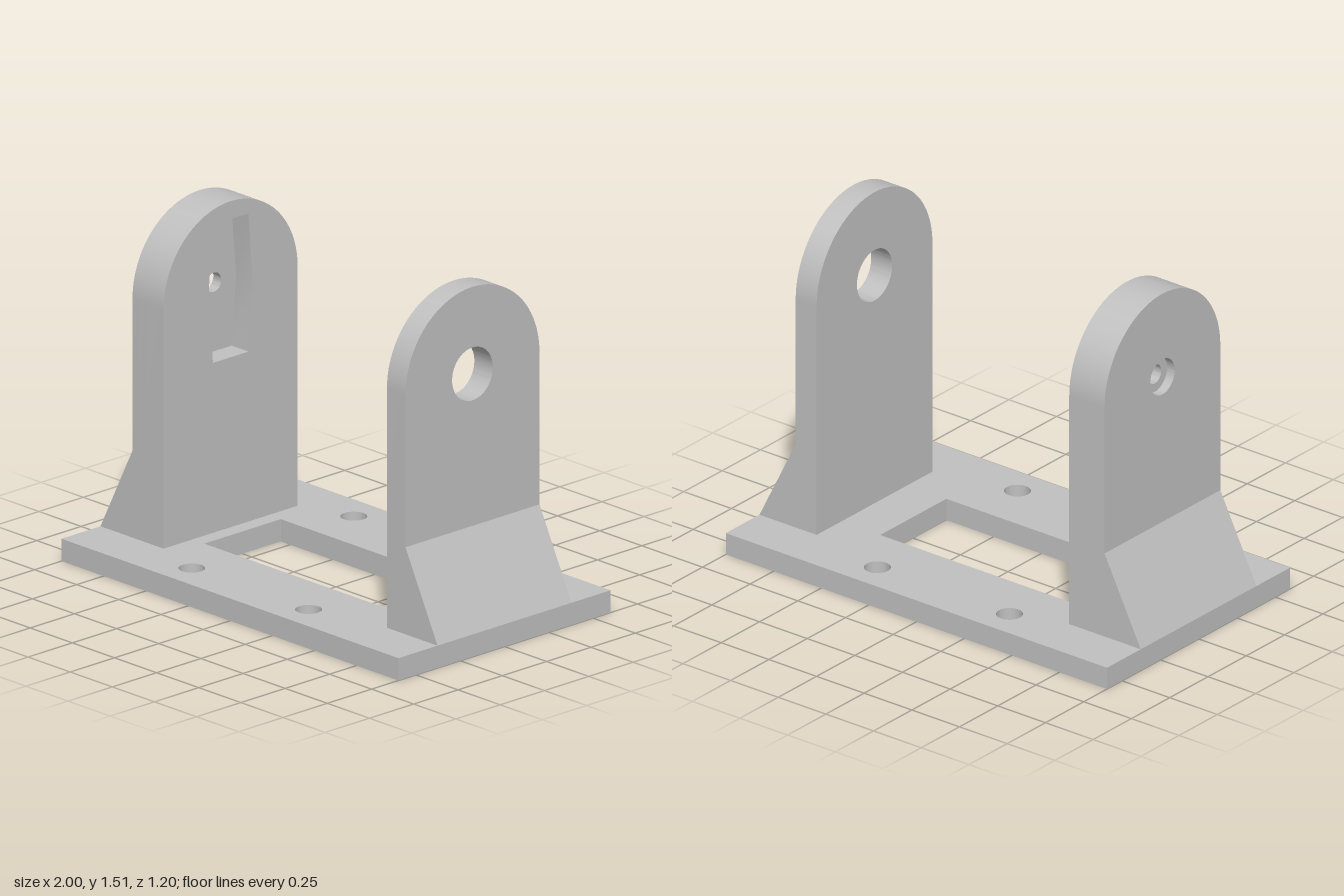
import * as THREE from 'three';
import { toCreasedNormals } from 'three/addons/utils/BufferGeometryUtils.js';

const BASE = { x: 1, z: 0.598, h: 0.097 };
const ARM_W = 0.378;   // half width, also the radius of the rounded top
const AXIS_Y = 1.135;  // height of the pivot axis
const OUTER_X = 0.81;  // outer face of both arms
const GUSSET_Y = 0.475;

const grey = new THREE.MeshStandardMaterial({ color: 0xc0c0c0 });
grey.name = 'grey plastic';

const circle = (x, y, r) => new THREE.Path().absarc(x, y, r, 0, Math.PI * 2, true);
const polygon = (pts) => new THREE.Path(pts.map(([x, y]) => new THREE.Vector2(x, y)));

function extrude(shape, depth) {
  const geo = new THREE.ExtrudeGeometry(shape, { depth, bevelEnabled: false, curveSegments: 40 });
  return toCreasedNormals(geo, 0.5);
}

function part(name, geometry) {
  const mesh = new THREE.Mesh(geometry, grey);
  mesh.name = name;
  return mesh;
}

// Round-topped slab standing on the base, from x0 to x1, with one opening
function armSlab(name, x0, x1, opening) {
  const s = new THREE.Shape();
  s.moveTo(-ARM_W, BASE.h);
  s.lineTo(ARM_W, BASE.h);
  s.lineTo(ARM_W, AXIS_Y);
  s.absarc(0, AXIS_Y, ARM_W, 0, Math.PI, false);
  s.closePath();
  s.holes.push(opening);
  return part(name, extrude(s, x1 - x0).rotateY(Math.PI / 2).translate(x0, 0, 0));
}

// Sloped brace between the base edge and the outer face of an arm
function gusset(name, side) {
  const s = new THREE.Shape();
  s.moveTo(side * OUTER_X, BASE.h);
  s.lineTo(side * BASE.x, BASE.h);
  s.lineTo(side * OUTER_X, GUSSET_Y);
  s.closePath();
  return part(name, extrude(s, ARM_W * 2).translate(0, 0, -ARM_W));
}

export function createModel() {
  const model = new THREE.Group();
  model.name = 'bracket';

  // Base plate with a rectangular window and four screw holes
  const plate = new THREE.Shape();
  plate.moveTo(-BASE.x, -BASE.z);
  plate.lineTo(BASE.x, -BASE.z);
  plate.lineTo(BASE.x, BASE.z);
  plate.lineTo(-BASE.x, BASE.z);
  plate.closePath();
  plate.holes.push(polygon([[-0.555, -0.216], [-0.555, 0.216], [0.497, 0.216], [0.497, -0.216]]));
  for (const x of [-0.375, 0.318])
    for (const z of [-0.457, 0.457]) plate.holes.push(circle(x, z, 0.055));
  model.add(part('basePlate', extrude(plate, BASE.h).rotateX(-Math.PI / 2)));

  // Thin arm with a plain bearing hole
  const leftArm = new THREE.Group();
  leftArm.name = 'leftArm';
  leftArm.add(armSlab('bearingArm', 0.7, OUTER_X, circle(0, AXIS_Y, 0.115)));
  leftArm.add(gusset('leftGusset', 1));

  // Thick arm in layers: screw-head recess, screw hole, tapered slot
  const rightArm = new THREE.Group();
  rightArm.name = 'rightArm';
  const slot = polygon([
    [-0.1, AXIS_Y - 0.3], [-0.125, AXIS_Y], [-0.1, AXIS_Y + 0.3],
    [0.1, AXIS_Y + 0.3], [0.125, AXIS_Y], [0.1, AXIS_Y - 0.3],
  ]);
  rightArm.add(armSlab('screwRecessLayer', -OUTER_X, -0.77, circle(0, AXIS_Y, 0.08)));
  rightArm.add(armSlab('screwHoleLayer', -0.77, -0.725, circle(0, AXIS_Y, 0.042)));
  rightArm.add(armSlab('slotLayer', -0.725, -0.625, slot));
  rightArm.add(gusset('rightGusset', -1));

  model.add(leftArm, rightArm);
  return model;
}
